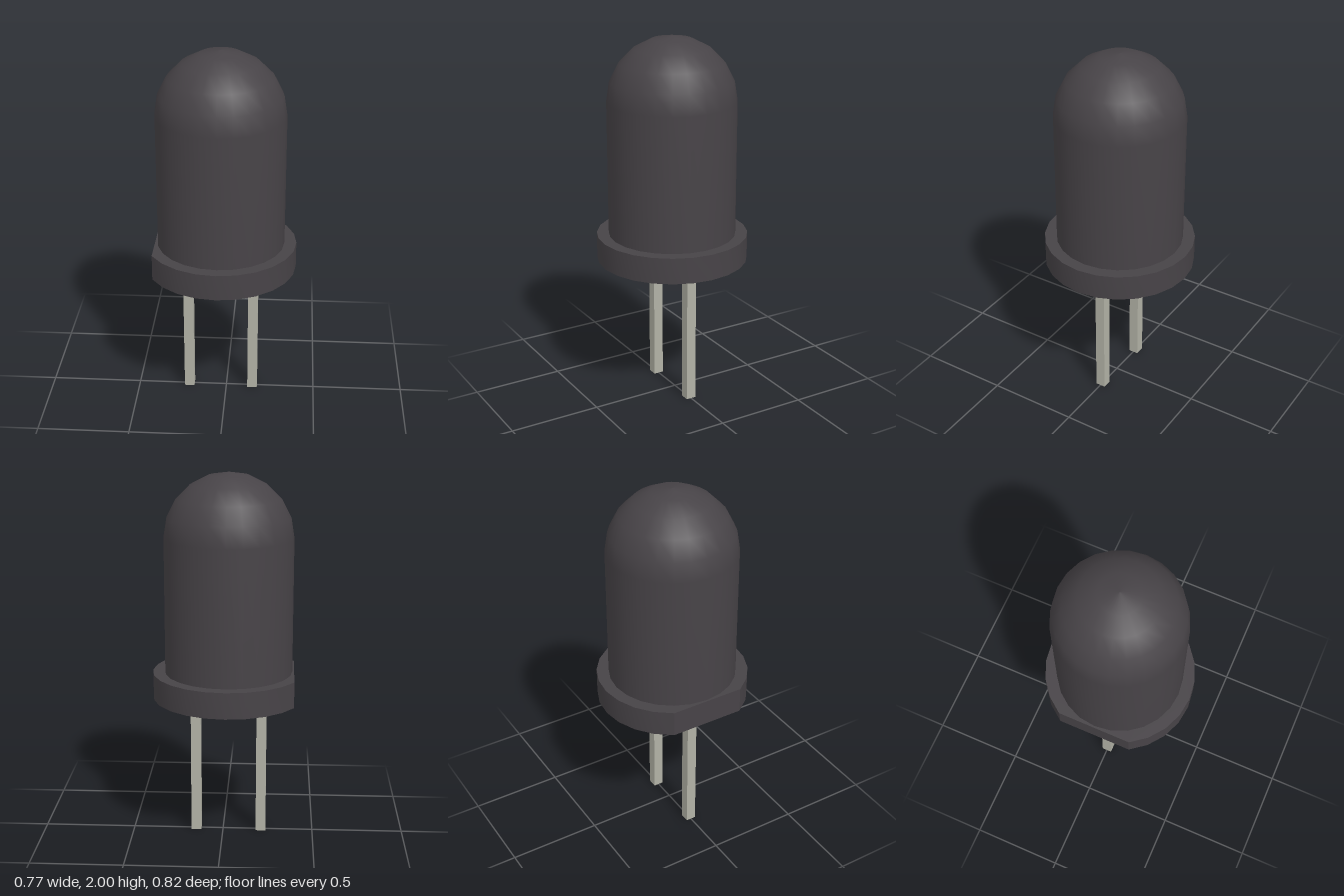
import * as THREE from 'three';
import { toCreasedNormals } from 'three/addons/utils/BufferGeometryUtils.js';

const CENTRE_X = -0.03;
const SIDES = 24;
const BODY_RADIUS = 0.345, RIM_RADIUS = 0.41;
const RIM_BOTTOM = 0.785, RIM_TOP = 0.927;

export function createModel() {
  const model = new THREE.Group();
  model.name = 'ledLamp';
  const plastic = new THREE.MeshStandardMaterial({ color: 0x474347 });
  const metal = new THREE.MeshStandardMaterial({ color: 0xb2b2a6 });

  const add = (name, geometry, material, x, y) => {
    const mesh = new THREE.Mesh(geometry, material);
    mesh.name = name;
    mesh.position.set(x, y, 0);
    model.add(mesh);
  };

  // Bulb: straight wall running smoothly into a hemispherical dome
  const profile = [new THREE.Vector2(BODY_RADIUS, RIM_TOP)];
  const domeSteps = 5;
  for (let i = 0; i <= domeSteps; i++) {
    const a = (i / domeSteps) * Math.PI / 2;
    const r = i === domeSteps ? 0 : BODY_RADIUS * Math.cos(a);
    profile.push(new THREE.Vector2(r, 2 - BODY_RADIUS + BODY_RADIUS * Math.sin(a)));
  }
  add('bulb', new THREE.LatheGeometry(profile, SIDES), plastic, CENTRE_X, 0);

  // Rim: polygonal disc with one flat cut on the -x side
  const outline = [];
  for (let i = -10; i <= 10; i++) {
    const a = (i / SIDES) * Math.PI * 2;
    outline.push(new THREE.Vector2(RIM_RADIUS * Math.cos(a), RIM_RADIUS * Math.sin(a)));
  }
  const rim = new THREE.ExtrudeGeometry(new THREE.Shape(outline), {
    depth: RIM_TOP - RIM_BOTTOM, bevelEnabled: false,
  });
  rim.rotateX(-Math.PI / 2);
  add('rim', toCreasedNormals(rim, 0.5), plastic, CENTRE_X, RIM_BOTTOM);

  // Two square wire legs
  for (const [name, x] of [['rightLeg', -0.211], ['leftLeg', 0.149]]) {
    add(name, new THREE.BoxGeometry(0.055, RIM_BOTTOM, 0.055), metal, x, RIM_BOTTOM / 2);
  }
  return model;
}
